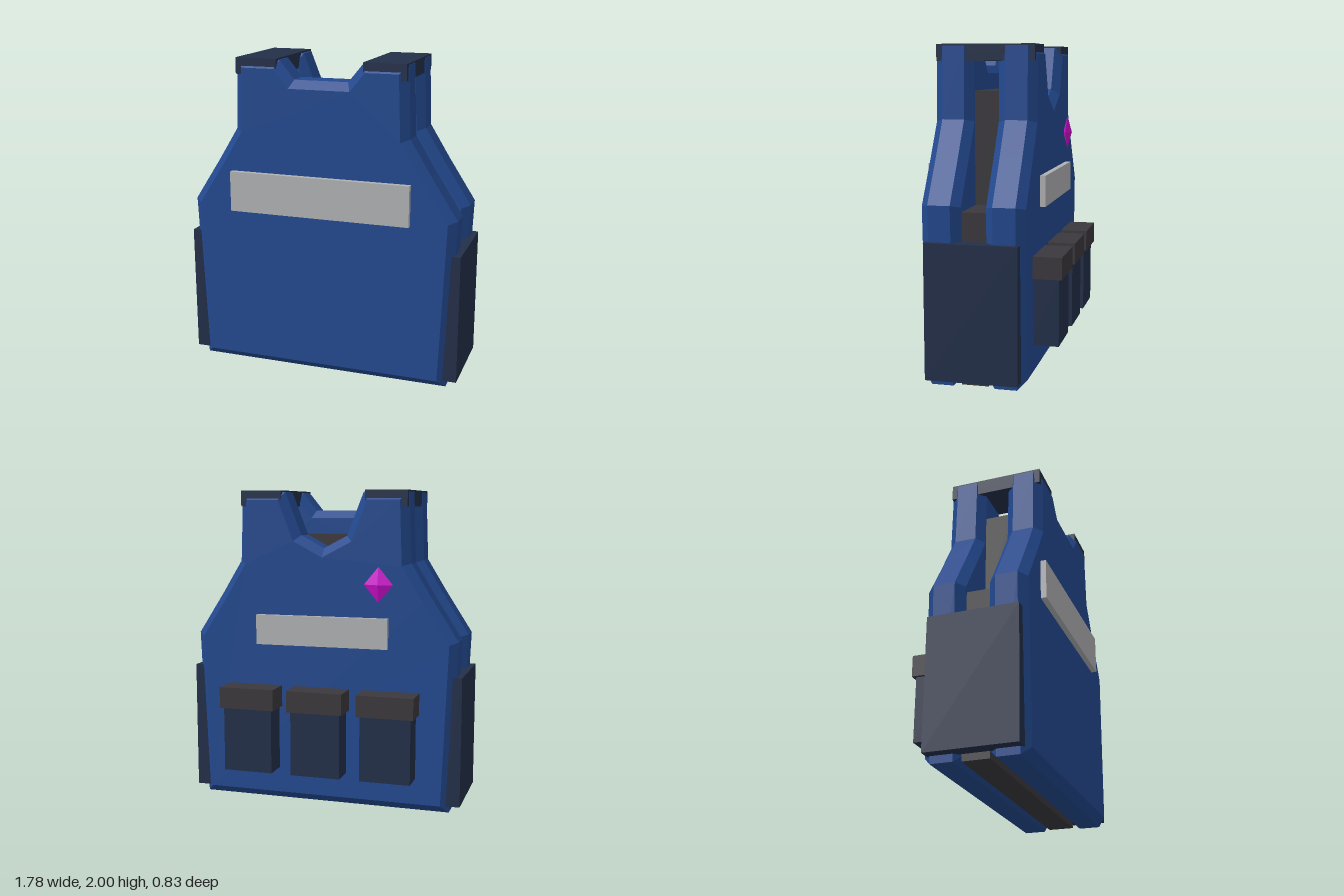
import * as THREE from 'three';

const mat = (name, color) => {
  const m = new THREE.MeshStandardMaterial({ color });
  m.name = name;
  return m;
};

export function createModel() {
  const blue = mat('blue fabric', 0x23498f);
  const navy = mat('navy fabric', 0x232f49);
  const charcoal = mat('charcoal', 0x3a383c);
  const silver = mat('reflective silver', 0xb0b1b3);
  const magenta = mat('magenta', 0xcc10cc);

  const vest = new THREE.Group();
  vest.name = 'vest';

  const add = (name, geometry, material) => {
    const mesh = new THREE.Mesh(geometry, material);
    mesh.name = name;
    vest.add(mesh);
    return mesh;
  };
  // Box given by its min and max on each axis
  const box = (name, material, [x0, x1], [y0, y1], [z0, z1]) =>
    add(name, new THREE.BoxGeometry(x1 - x0, y1 - y0, z1 - z0), material)
      .position.set((x0 + x1) / 2, (y0 + y1) / 2, (z0 + z1) / 2);

  // Bevelled body panel: mirrored half outline, from hem up to the neck
  const side = [[0.77, 0.05], [0.81, 1.065], [0.645, 1.32], [0.51, 1.54], [0.495, 1.94], [0.29, 1.94]];
  const bevel = 0.05;
  const panel = (name, neck, z0, z1) => {
    const half = [...side, ...neck];
    const mirrored = half.filter(([x]) => x > 0).map(([x, y]) => [-x, y]).reverse();
    const shape = new THREE.Shape([...half, ...mirrored].map(([x, y]) => new THREE.Vector2(x, y)));
    const geometry = new THREE.ExtrudeGeometry(shape, {
      depth: z1 - z0 - 2 * bevel, bevelEnabled: true,
      bevelSize: bevel, bevelThickness: bevel, bevelSegments: 1,
    });
    geometry.translate(0, 0, z0 + bevel);
    add(name, geometry, blue);
  };
  panel('frontPanel', [[0.195, 1.825]], 0.145, 0.38);
  panel('backPanel', [[0.19, 1.685], [0, 1.585]], -0.24, -0.005);

  // Inner padding between the panels
  box('lowerPadding', charcoal, [-0.795, 0.795], [0.003, 1.035], [-0.012, 0.152]);
  box('upperPadding', charcoal, [-0.5, 0.5], [1.035, 1.725], [-0.015, 0.157]);

  // Shoulder straps and side panels
  for (const s of [1, -1]) {
    const span = (a, b) => (s > 0 ? [a, b] : [-b, -a]);
    const label = s > 0 ? 'left' : 'right';
    box(label + 'ShoulderStrap', navy, span(0.275, 0.54), [1.9, 2], [-0.23, 0.37]);
    box(label + 'SidePanel', navy, span(0.79, 0.888), [0.045, 0.863], [-0.21, 0.35]);
  }

  // Reflective strips
  box('frontStrip', silver, [-0.58, 0.58], [1.037, 1.292], [0.36, 0.415]);
  box('backStrip', silver, [-0.43, 0.43], [1.027, 1.217], [-0.275, -0.22]);

  // Row of pouches on the back
  for (const x of [-0.45, 0, 0.45]) {
    box('pouch', navy, [x - 0.16, x + 0.16], [0.215, 0.63], [-0.395, -0.22]);
    box('pouchLid', charcoal, [x - 0.18, x + 0.18], [0.625, 0.76], [-0.415, -0.22]);
  }

  // Gem badge on the back
  const gem = add('gemBadge', new THREE.OctahedronGeometry(1), magenta);
  gem.scale.set(0.092, 0.11, 0.03);
  gem.position.set(-0.37, 1.425, -0.262);

  return vest;
}
